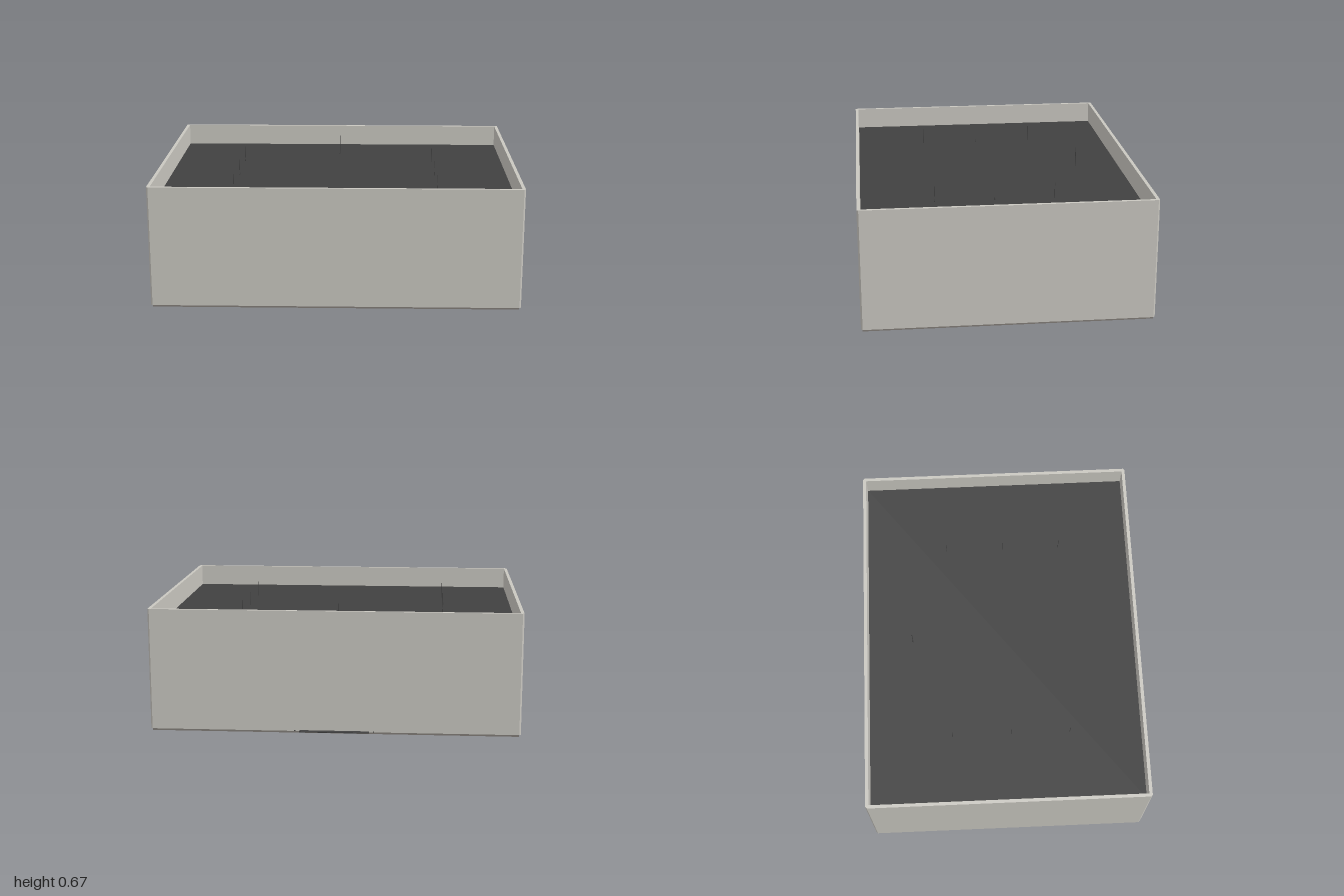
import * as THREE from 'three';

export function createModel() {
  const model = new THREE.Group();
  const makeMaterial = (name, color) => {
    const material = new THREE.MeshStandardMaterial({ color });
    material.name = name;
    return material;
  };
  const wallGrey = makeMaterial('pale warm grey', 0xc9c7c0);
  const baseGrey = makeMaterial('mid warm grey', 0x827d78);
  const darkGrey = makeMaterial('dark grey', 0x404040);

  const add = (name, geometry, material, x, y, z, parent = model) => {
    const mesh = new THREE.Mesh(geometry, material);
    mesh.name = name;
    mesh.position.set(x, y, z);
    parent.add(mesh);
    return mesh;
  };

  const midZ = 0.009; // middle of the tray, the back tab sticks out behind it
  const wallBase = 0.012, wallTop = 0.672, deckTop = 0.55;

  // Four thin walls as one ring with small chamfers at the outer corners
  const w = 1, d = 0.78, c = 0.009, t = 0.018;
  const outline = new THREE.Shape([
    [-w + c, -d], [w - c, -d], [w, -d + c], [w, d - c],
    [w - c, d], [-w + c, d], [-w, d - c], [-w, -d + c],
  ].map(([x, y]) => new THREE.Vector2(x, y)));
  const iw = w - t, id = d - t;
  outline.holes.push(new THREE.Path([
    [-iw, -id], [-iw, id], [iw, id], [iw, -id],
  ].map(([x, y]) => new THREE.Vector2(x, y))));
  const ring = new THREE.ExtrudeGeometry(outline, { depth: wallTop - wallBase, bevelEnabled: false });
  ring.rotateX(-Math.PI / 2);
  add('walls', ring, wallGrey, 0, wallBase, midZ);

  // Slightly inset base plate under the walls, and the dark recessed deck inside
  add('base', new THREE.BoxGeometry(2 * (w - c), wallBase, 2 * (d - c)), baseGrey, 0, wallBase / 2, midZ);
  add('deck', new THREE.BoxGeometry(2 * iw, deckTop - wallBase, 2 * id), darkGrey,
    0, (deckTop + wallBase) / 2, midZ);

  // Thin upright pins with a small foot
  const addPin = (name, x, z, height, radius) => {
    const pin = new THREE.Group();
    pin.name = name;
    pin.position.set(x, deckTop, z);
    add('stem', new THREE.CylinderGeometry(radius, radius, height, 8), darkGrey, 0, height / 2, 0, pin);
    add('foot', new THREE.CylinderGeometry(radius, radius * 1.6, 0.015, 8), darkGrey, 0, 0.0075, 0, pin);
    model.add(pin);
  };
  for (const x of [-0.58, 0.56]) {
    for (const z of [-0.29, 0.04, 0.37]) addPin('sidePin', x, z, 0.09, 0.0012);
  }
  addPin('backPin', -0.004, -0.5, 0.115, 0.0018);

  // Low tab behind the back wall, with a small stud at each end
  const tab = add('backTab', new THREE.BoxGeometry(0.375, 0.004, 0.026), darkGrey, 0, 0.014, -0.78);
  tab.rotation.x = -0.12;
  for (const side of [-1, 1]) {
    add('tabStud', new THREE.BoxGeometry(0.006, 0.004, 0.01), darkGrey, side * 0.213, 0.016, -0.775);
  }

  return model;
}
